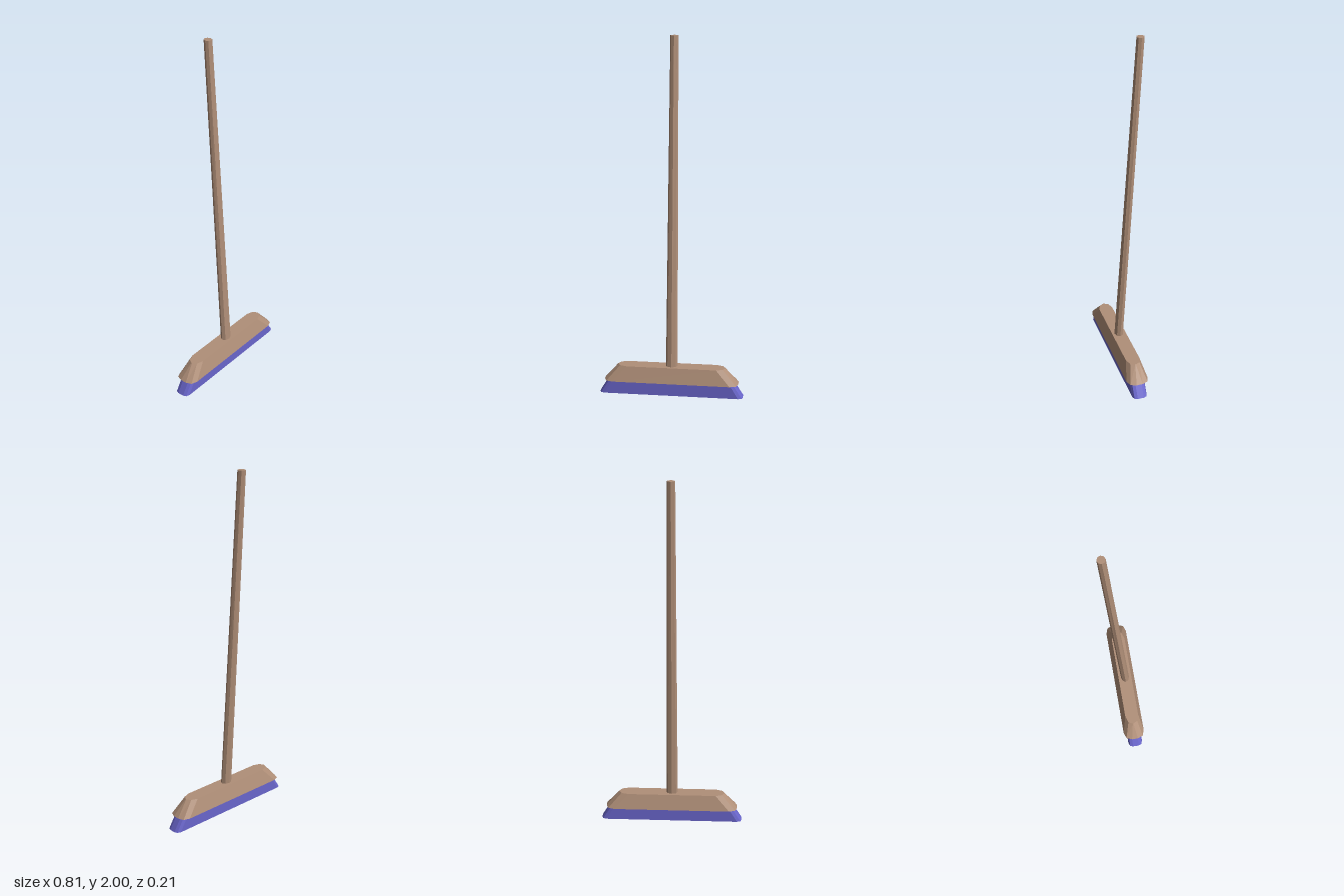
import * as THREE from 'three';

const wood = new THREE.MeshStandardMaterial({ color: 0xb08f78, flatShading: true });
wood.name = 'brown wood';
const blue = new THREE.MeshStandardMaterial({ color: 0x6a66cc, flatShading: true });
blue.name = 'blue bristle';

// Mirrors one quarter of an outline ([x, z] from the long side to the end) into a full ring.
function ring(quarter, y, zc) {
  const back = [...quarter].reverse();
  return [
    ...quarter.map(([x, z]) => [x, y, zc + z]),
    ...back.map(([x, z]) => [x, y, zc - z]),
    ...quarter.map(([x, z]) => [-x, y, zc - z]),
    ...back.map(([x, z]) => [-x, y, zc + z]),
  ];
}

// Eight-sided elliptical ring.
function oval(rx, rz, y, zc) {
  return Array.from({ length: 8 }, (_, i) => {
    const a = (i * Math.PI) / 4;
    return [Math.sin(a) * rx, y, zc + Math.cos(a) * rz];
  });
}

// Closed, faceted solid between a lower and an upper ring.
function loft(name, low, high, material) {
  const pos = [];
  const tri = (...points) => points.forEach((p) => pos.push(...p));
  const n = low.length;
  for (let i = 0; i < n; i++) {
    const j = (i + 1) % n;
    tri(low[i], low[j], high[j]);
    tri(low[i], high[j], high[i]);
    if (i > 0 && i < n - 1) {
      tri(high[0], high[i], high[j]);
      tri(low[0], low[j], low[i]);
    }
  }
  const geometry = new THREE.BufferGeometry();
  geometry.setAttribute('position', new THREE.Float32BufferAttribute(pos, 3));
  geometry.computeVertexNormals();
  const mesh = new THREE.Mesh(geometry, material);
  mesh.name = name;
  return mesh;
}

export function createModel() {
  const group = new THREE.Group();
  group.name = 'broom';
  const zc = 0.039;

  // Flared bristles
  group.add(loft('bristles',
    ring([[0.38, 0.043], [0.4, 0.035], [0.407, 0.018]], 0, zc + 0.002),
    ring([[0.332, 0.043], [0.35, 0.035], [0.357, 0.018]], 0.08, zc + 0.002), blue));

  // Bevelled head block
  group.add(loft('headBlock',
    ring([[0.332, 0.063], [0.367, 0.051], [0.38, 0.018]], 0.078, zc),
    ring([[0.253, 0.04], [0.291, 0.027], [0.305, 0.002]], 0.165, zc), wood));

  // Leaning, tapered handle
  group.add(loft('handle',
    oval(0.033, 0.025, 0.16, 0.04),
    oval(0.022, 0.022, 2, -0.082), wood));

  return group;
}
